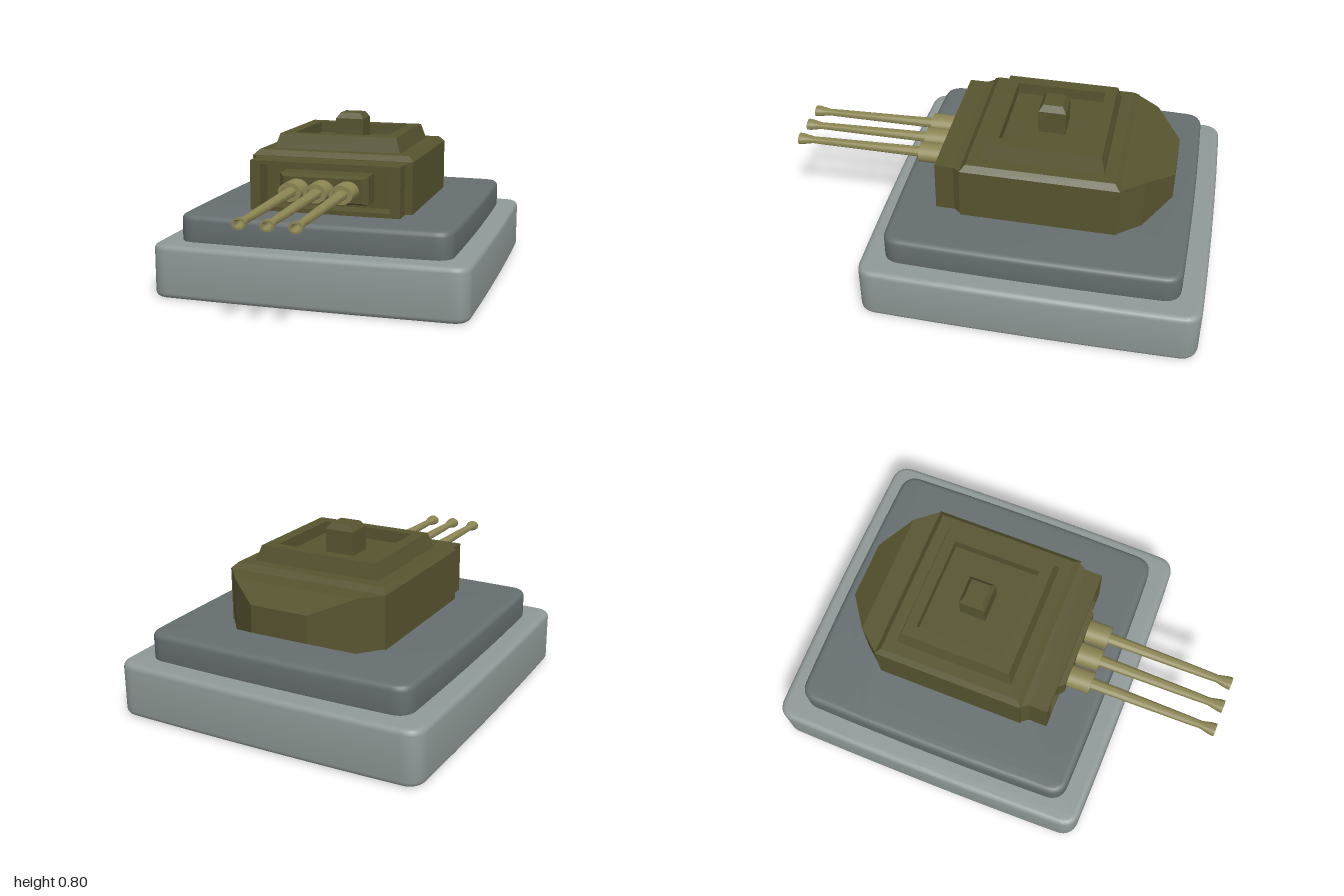
import * as THREE from 'three';
import { toCreasedNormals } from 'three/addons/utils/BufferGeometryUtils.js';

const paint = (color) => new THREE.MeshStandardMaterial({ color });

// Rectangular sections [z, halfWidth, halfHeight, centreY] joined along z and capped.
function loft(sections, cx = 0) {
  const pos = [], idx = [];
  for (const [z, a, b, cy = 0] of sections) {
    pos.push(cx - a, cy - b, z, cx + a, cy - b, z, cx + a, cy + b, z, cx - a, cy + b, z);
  }
  for (let s = 0; s < sections.length - 1; s++) {
    for (let i = 0; i < 4; i++) {
      const p = s * 4 + i, q = s * 4 + (i + 1) % 4;
      idx.push(p, q, q + 4, p, q + 4, p + 4);
    }
  }
  const e = (sections.length - 1) * 4;
  idx.push(0, 2, 1, 0, 3, 2, e, e + 1, e + 2, e, e + 2, e + 3);
  const g = new THREE.BufferGeometry();
  g.setAttribute('position', new THREE.Float32BufferAttribute(pos, 3));
  g.setIndex(idx);
  const flat = g.toNonIndexed();
  flat.computeVertexNormals();
  return flat;
}

// The same loft standing upright: sections [y, halfWidth, halfDepth], centred on cz.
function loftUp(sections, cx, cz) {
  return loft(sections.map(([y, a, b]) => [y, a, b, -cz]), cx).rotateX(-Math.PI / 2);
}

// Slab with rounded corners, slightly bowed sides and soft edges.
function slab(w, d, y0, y1, cz) {
  const bevel = 0.025, bow = 0.008, r = 0.06;
  const a = w - bevel - bow, b = d - bevel - bow;
  const s = new THREE.Shape();
  s.moveTo(-a + r, -b);
  s.quadraticCurveTo(0, -b - 2 * bow, a - r, -b);
  s.quadraticCurveTo(a, -b, a, -b + r);
  s.quadraticCurveTo(a + 2 * bow, 0, a, b - r);
  s.quadraticCurveTo(a, b, a - r, b);
  s.quadraticCurveTo(0, b + 2 * bow, -a + r, b);
  s.quadraticCurveTo(-a, b, -a, b - r);
  s.quadraticCurveTo(-a - 2 * bow, 0, -a, -b + r);
  s.quadraticCurveTo(-a, -b, -a + r, -b);
  const g = new THREE.ExtrudeGeometry(s, {
    depth: y1 - y0 - 2 * bevel, bevelThickness: bevel, bevelSize: bevel,
    bevelSegments: 4, curveSegments: 10,
  });
  g.rotateX(-Math.PI / 2).translate(0, y0 + bevel, cz);
  return toCreasedNormals(g, 0.6);
}

// Round part along +z from a profile of [radius, z].
function turned(profile) {
  const g = new THREE.LatheGeometry(profile.map(([r, z]) => new THREE.Vector2(r, z)), 24);
  return toCreasedNormals(g.rotateX(Math.PI / 2), 0.6);
}

export function createModel() {
  const model = new THREE.Group();
  model.name = 'turretOnPlinth';
  const stone = paint(0x8f9997), slate = paint(0x666e70);
  const olive = paint(0x57542f), brass = paint(0x8c8654);
  const add = (parent, name, geometry, material) => {
    const mesh = new THREE.Mesh(geometry, material);
    mesh.name = name;
    parent.add(mesh);
    return mesh;
  };

  // Two-step plinth
  add(model, 'lowerPlinth', slab(0.747, 0.78, 0, 0.25, -0.22), stone);
  add(model, 'upperPlinth', slab(0.65, 0.68, 0.23, 0.375, -0.22), slate);

  // Turret body with chamfered roof edge
  const turret = new THREE.Group();
  turret.name = 'turret';
  model.add(turret);
  const cx = 0.007;
  add(turret, 'turretBody', loftUp([
    [0.372, 0.39, 0.36], [0.62, 0.39, 0.36], [0.645, 0.365, 0.335],
  ], cx, -0.217), olive);

  // Raised roof rim with sunken floor, and hatch knob
  add(turret, 'roofRim', loftUp([
    [0.64, 0.31, 0.283], [0.715, 0.286, 0.263], [0.715, 0.228, 0.21], [0.66, 0.228, 0.21],
  ], cx, -0.217), olive);
  add(turret, 'roofHatch', loftUp([
    [0.65, 0.069, 0.063], [0.77, 0.069, 0.063], [0.798, 0.049, 0.045],
  ], cx, -0.22), olive);

  // Tapered rear bustle
  add(turret, 'rearBustle', loft([
    [-0.8, 0.138, 0.063, 0.497], [-0.68, 0.3, 0.121, 0.499], [-0.57, 0.39, 0.121, 0.499],
  ], cx), olive);

  // Front collar with open pocket
  add(turret, 'frontCollar', loft([
    [0.13, 0.39, 0.122, 0.497], [0.175, 0.36, 0.118, 0.497], [0.262, 0.36, 0.118, 0.497],
    [0.262, 0.311, 0.099, 0.499], [0.165, 0.311, 0.099, 0.499],
  ], cx), olive);

  // Gun mantlet
  add(turret, 'gunMantlet', loft([
    [0.16, 0.213, 0.067, 0.498], [0.262, 0.213, 0.067, 0.498], [0.286, 0.187, 0.055, 0.498],
  ], cx), olive);

  // Three guns: sleeve and flared barrel with open bore
  const sleeve = turned([[0, 0], [0.044, 0], [0.044, 0.125], [0.03, 0.125], [0.03, 0.11], [0, 0.11]]);
  const barrel = turned([
    [0, 0.08], [0.023, 0.08], [0.0165, 0.6], [0.015, 0.66], [0.024, 0.71], [0.025, 0.73],
    [0.017, 0.73], [0.011, 0.66], [0, 0.66],
  ]);
  for (const x of [-0.113, 0.007, 0.127]) {
    const gun = new THREE.Group();
    gun.name = 'gun';
    gun.position.set(x, 0.5, 0.27);
    gun.scale.x = 1.25;
    add(gun, 'gunSleeve', sleeve, brass);
    add(gun, 'gunBarrel', barrel, brass).rotation.x = 0.018;
    turret.add(gun);
  }
  return model;
}
